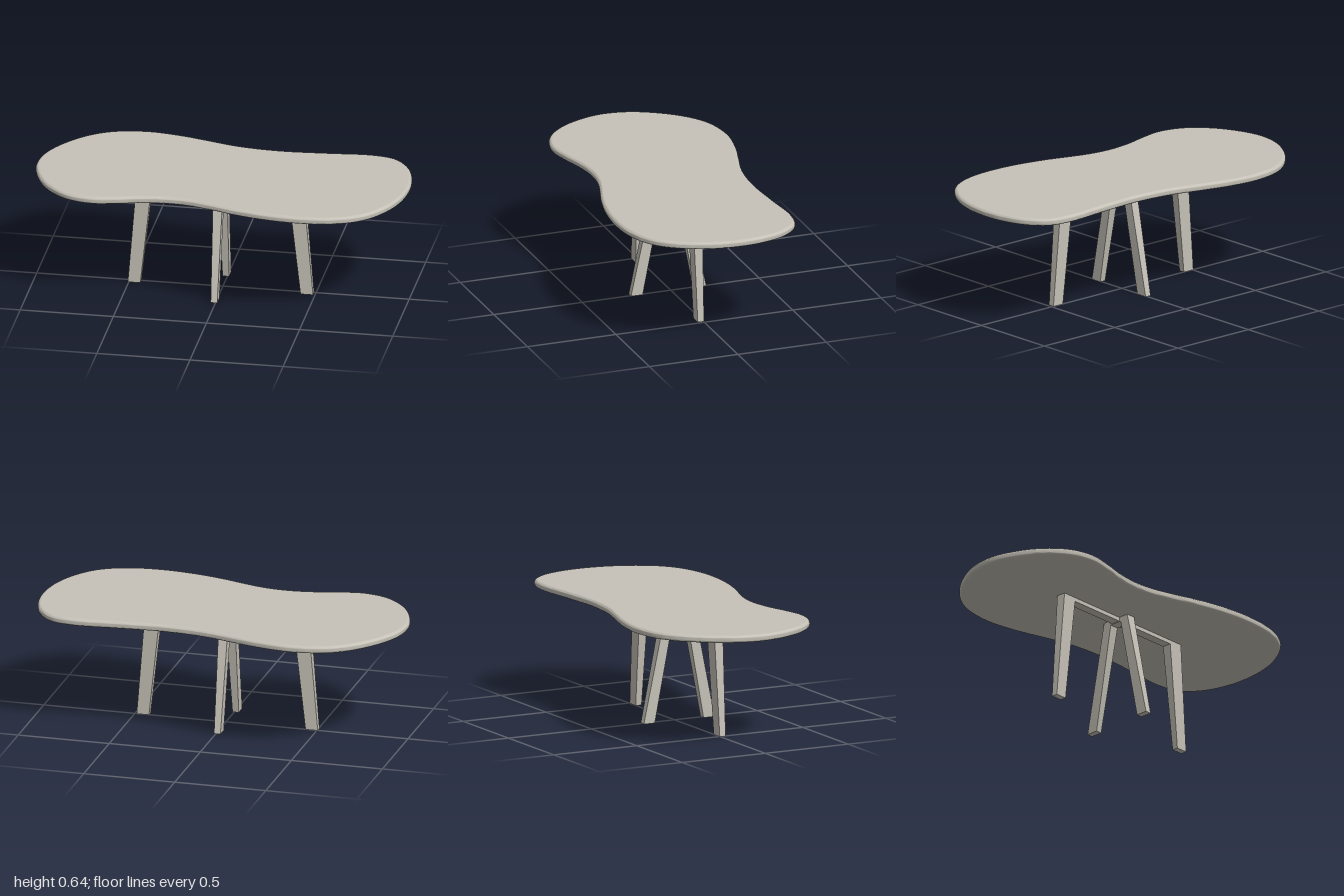
import * as THREE from 'three';
import { toCreasedNormals } from 'three/addons/utils/BufferGeometryUtils.js';

const BASE = 0.604, TOP = 0.643;

// Freeform outline of the top, as [x, z] running around the edge
const OUTLINE = [
  [-1, 0], [-0.97, -0.16], [-0.84, -0.36], [-0.69, -0.47], [-0.5, -0.508], [-0.31, -0.485],
  [-0.15, -0.442], [0, -0.4], [0.13, -0.381], [0.27, -0.375], [0.5, -0.389], [0.73, -0.405],
  [0.86, -0.375], [0.945, -0.28], [0.987, -0.16], [1, -0.03], [0.983, 0.12], [0.935, 0.255],
  [0.85, 0.38], [0.76, 0.445], [0.64, 0.486], [0.48, 0.5], [0.3, 0.484], [0.13, 0.445],
  [0, 0.402], [-0.12, 0.37], [-0.24, 0.36], [-0.37, 0.374], [-0.5, 0.406], [-0.64, 0.428],
  [-0.78, 0.39], [-0.9, 0.28], [-0.975, 0.13],
];

function tabletopGeometry() {
  const curve = new THREE.CatmullRomCurve3(OUTLINE.map(([x, z]) => new THREE.Vector3(x, -z, 0)), true);
  const points = curve.getSpacedPoints(160).slice(0, -1);
  const shape = new THREE.Shape(points.map((p) => new THREE.Vector2(p.x, p.y)));
  const round = 0.018;
  const extruded = new THREE.ExtrudeGeometry(shape, {
    depth: TOP - BASE - 2 * round, steps: 1,
    bevelEnabled: true, bevelThickness: round, bevelSize: round, bevelOffset: -round, bevelSegments: 6,
  });
  const caps = extruded.groups[0];
  const geometry = toCreasedNormals(extruded, 0.6);
  // Keep the two large faces perfectly flat
  const normal = geometry.attributes.normal, position = geometry.attributes.position;
  for (let i = caps.start; i < caps.start + caps.count; i++) {
    normal.setXYZ(i, 0, 0, position.getZ(i) > 0 ? 1 : -1);
  }
  geometry.clearGroups();
  geometry.rotateX(-Math.PI / 2);
  geometry.translate(0, BASE + round, 0);
  return geometry;
}

// Splayed pair of legs joined by a thin rail, thinner towards the floor
function legFrameGeometry({ footOut, footIn, topOut, topIn, railY }) {
  const shape = new THREE.Shape([
    [-footOut, 0], [-footIn, 0], [-topIn, railY], [topIn, railY],
    [footIn, 0], [footOut, 0], [topOut, BASE + 0.002], [-topOut, BASE + 0.002],
  ].map(([x, y]) => new THREE.Vector2(x, y)));
  const geometry = new THREE.ExtrudeGeometry(shape, { depth: 2, bevelEnabled: false });
  geometry.translate(0, 0, -1);
  const position = geometry.attributes.position;
  for (let i = 0; i < position.count; i++) {
    const half = THREE.MathUtils.lerp(0.0175, 0.0265, position.getY(i) / BASE);
    position.setZ(i, position.getZ(i) * half);
  }
  geometry.computeVertexNormals();
  return geometry;
}

export function createModel() {
  const group = new THREE.Group();
  const stone = new THREE.MeshStandardMaterial({ color: 0xc6c2b8 });
  stone.name = 'warm grey';

  const add = (name, geometry) => {
    const mesh = new THREE.Mesh(geometry, stone);
    mesh.name = name;
    group.add(mesh);
    return mesh;
  };

  add('tabletop', tabletopGeometry());

  // Wide frame runs along the table, narrow frame crosses it
  const wide = add('longLegFrame', legFrameGeometry(
    { footOut: 0.497, footIn: 0.43, topOut: 0.447, topIn: 0.366, railY: 0.583 }));
  wide.position.set(-0.008, 0, 0.015);

  const narrow = add('crossLegFrame', legFrameGeometry(
    { footOut: 0.213, footIn: 0.147, topOut: 0.084, topIn: 0.036, railY: 0.579 }));
  narrow.rotation.y = Math.PI / 2;
  narrow.position.set(-0.008, 0, 0.015);

  return group;
}
